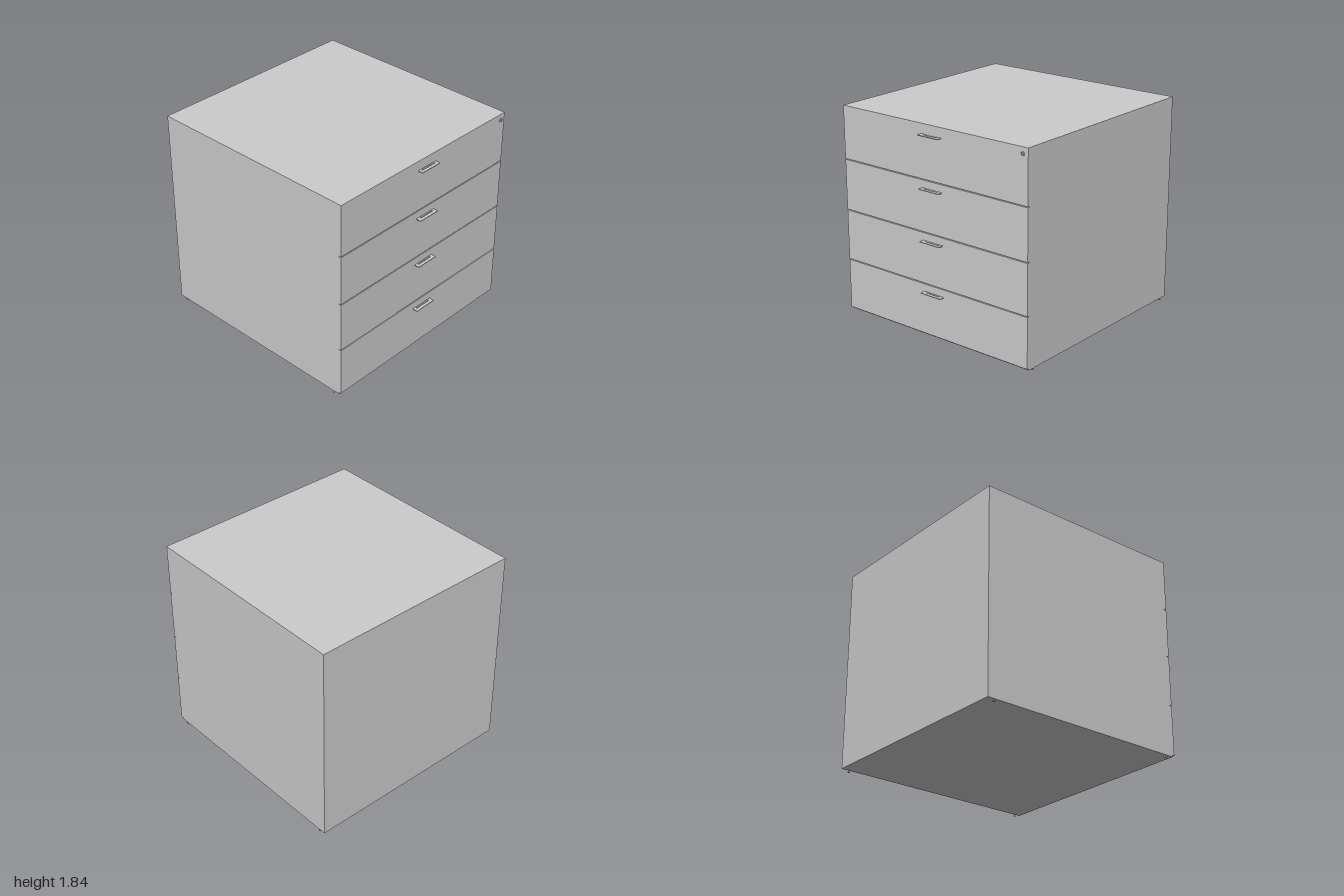
import * as THREE from 'three';

const material = new THREE.MeshStandardMaterial({ color: 0xcccccc });

function add(parent, name, geometry, x, y, z) {
  const mesh = new THREE.Mesh(geometry, material);
  mesh.name = name;
  mesh.position.set(x, y, z);
  parent.add(mesh);
  return mesh;
}

// box given by its lower and upper limits in y and z, centred on x
function slab(parent, name, width, y0, y1, z0, z1) {
  return add(parent, name, new THREE.BoxGeometry(width, y1 - y0, z1 - z0), 0, (y0 + y1) / 2, (z0 + z1) / 2);
}

// flat pull with a tapered finger slot, drawn in plan and extruded upwards
function handleGeometry() {
  const plan = new THREE.Shape();
  plan.moveTo(-0.105, 0).lineTo(0.105, 0).lineTo(0.105, 0.045).lineTo(-0.105, 0.045).closePath();
  const slot = new THREE.Path();
  slot.moveTo(-0.06, 0.004).lineTo(-0.08, 0.018).lineTo(0.08, 0.018).lineTo(0.06, 0.004).closePath();
  plan.holes.push(slot);
  const geometry = new THREE.ExtrudeGeometry(plan, { depth: 0.007, bevelEnabled: false });
  geometry.rotateX(Math.PI / 2); // plan y becomes +z, thickness goes down
  return geometry;
}

export function createModel() {
  const model = new THREE.Group();
  model.name = 'drawerCabinet';
  const width = 1.95;

  // carcass and overhanging top panel
  slab(model, 'carcass', width, 0.02, 1.815, -1, 0.935);
  slab(model, 'topPanel', width, 1.815, 1.84, -1, 0.955);

  // four drawers, each with a front and a pull
  const pull = handleGeometry();
  const pitch = 0.448;
  for (let i = 0; i < 4; i++) {
    const drawer = new THREE.Group();
    drawer.name = 'drawer' + (i + 1);
    const y = 0.036 + i * pitch;
    slab(drawer, 'drawerFront', width, y, y + pitch - 0.008, 0.935, 0.955);
    add(drawer, 'handle', pull, 0, y + 0.375, 0.955);
    // small rib under the grip
    add(drawer, 'handleRib', new THREE.BoxGeometry(0.04, 0.004, 0.02), 0, y + 0.366, 0.975);
    model.add(drawer);
  }

  // round lock: collar, recessed core and keyhole
  const lock = new THREE.Group();
  lock.name = 'lock';
  lock.position.set(0.925, 1.787, 0.955);
  const collarProfile = [[0.009, 0], [0.009, 0.009], [0.014, 0.009], [0.016, 0.006], [0.016, 0]]
    .map(([r, h]) => new THREE.Vector2(r, h));
  collarProfile.reverse();
  const collar = add(lock, 'lockCollar', new THREE.LatheGeometry(collarProfile, 32), 0, 0, 0);
  collar.rotation.x = Math.PI / 2;
  collar.material = material.clone();
  collar.material.side = THREE.DoubleSide;
  const core = add(lock, 'lockCore', new THREE.CylinderGeometry(0.009, 0.009, 0.006, 24), 0, 0, 0.003);
  core.rotation.x = Math.PI / 2;
  add(lock, 'keyhole', new THREE.BoxGeometry(0.002, 0.01, 0.002), 0, 0, 0.006);
  model.add(lock);

  // four levelling feet
  for (const x of [-0.965, 0.965]) {
    for (const z of [0.87, -0.935]) {
      const foot = new THREE.Group();
      foot.name = 'foot';
      foot.position.set(x, 0, z);
      add(foot, 'footPad', new THREE.CylinderGeometry(0.009, 0.011, 0.007, 20), 0, 0.0035, 0);
      add(foot, 'footStem', new THREE.CylinderGeometry(0.005, 0.005, 0.015, 16), 0, 0.0135, 0);
      model.add(foot);
    }
  }
  return model;
}
